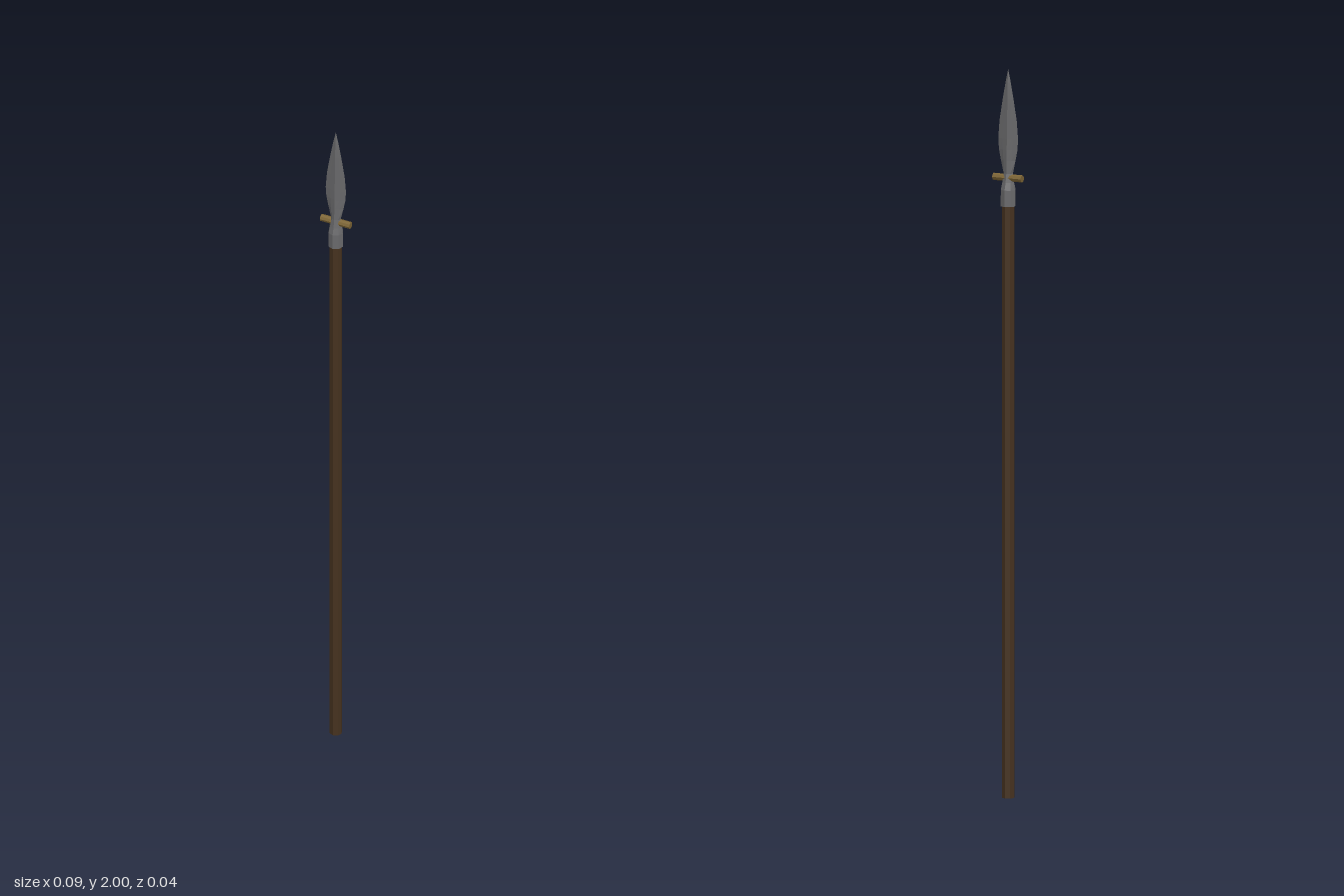
import * as THREE from 'three';

const material = (color) => new THREE.MeshStandardMaterial({ color, flatShading: true });

// Eight-sided loft along y; rows are [y, half width x, half depth z, corner factor]
function loft(rows) {
  const sides = 8, pos = [], index = [];
  for (const [y, rx, rz, corner] of rows) {
    for (let i = 0; i < sides; i++) {
      const a = (i / sides) * Math.PI * 2;
      const k = i % 2 ? corner / Math.SQRT1_2 : 1;
      pos.push(Math.sin(a) * rx * k, y, Math.cos(a) * rz * k);
    }
  }
  for (let r = 0; r < rows.length - 1; r++) {
    for (let i = 0; i < sides; i++) {
      const a = r * sides + i, b = r * sides + (i + 1) % sides;
      index.push(a, b, b + sides, a, b + sides, a + sides);
    }
  }
  // Bottom cap
  for (let i = 1; i < sides - 1; i++) index.push(0, i + 1, i);
  const g = new THREE.BufferGeometry();
  g.setAttribute('position', new THREE.Float32BufferAttribute(pos, 3));
  g.setIndex(index);
  g.computeVertexNormals();
  return g;
}

export function createModel() {
  const model = new THREE.Group();
  model.name = 'spear';
  const add = (name, geometry, color) => {
    const mesh = new THREE.Mesh(geometry, material(color));
    mesh.name = name;
    model.add(mesh);
    return mesh;
  };

  // Wooden pole
  const shaft = add('shaft', new THREE.CylinderGeometry(0.0175, 0.0175, 1.65, 8), 0x46321f);
  shaft.position.y = 0.825;

  // Socket flowing through a neck into a leaf-shaped blade with a central ridge
  add('spearhead', loft([
    [1.625, 0.021, 0.021, 0.71],
    [1.67, 0.021, 0.0205, 0.71],
    [1.69, 0.018, 0.015, 0.7],
    [1.715, 0.0145, 0.0105, 0.66],
    [1.75, 0.0225, 0.0095, 0.54],
    [1.78, 0.0285, 0.0085, 0.5],
    [1.81, 0.0305, 0.0075, 0.5],
    [1.86, 0.0265, 0.006, 0.5],
    [1.92, 0.0165, 0.0045, 0.5],
    [1.965, 0.008, 0.003, 0.5],
    [2.0, 0.0003, 0.0003, 0.5],
  ]), 0x6a6a6c);

  // Brass cross pin through the neck
  const pin = add('crossPin', new THREE.CylinderGeometry(0.01, 0.01, 0.088, 8), 0x7d6535);
  pin.rotation.z = Math.PI / 2;
  pin.position.set(0, 1.703, -0.001);

  return model;
}
